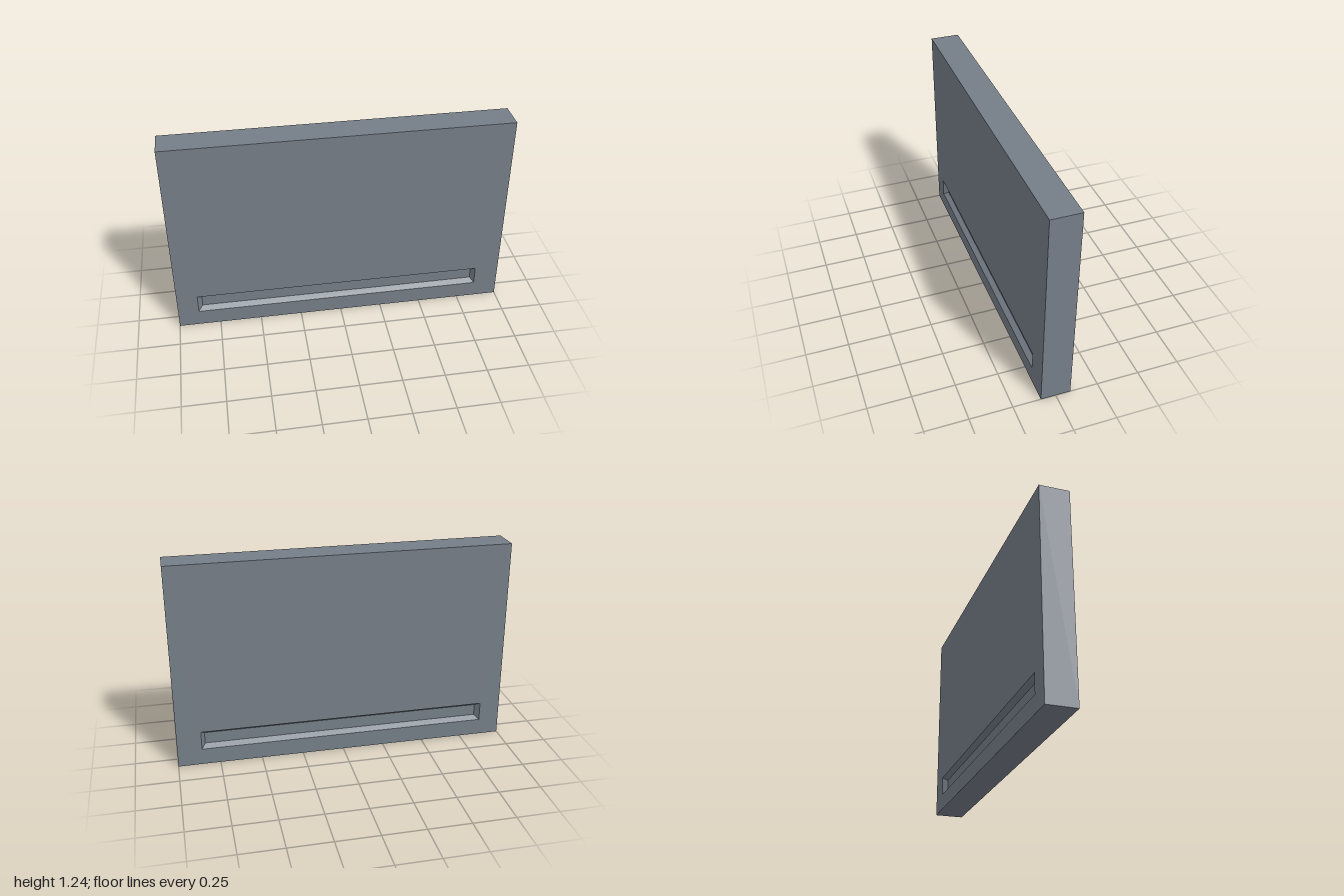
import * as THREE from 'three';

const HEIGHT = 1.24;
const HALF_DEPTH = 0.087;
const RECESS_DEPTH = 0.03;

// Rectangular loops: [x0, y0, x1, y1]
const OUTER = [-1, 0, 1, HEIGHT];
const RIM = [-0.876, 0.1, 0.856, 0.214];
const FLOOR = [-0.85, 0.123, 0.834, 0.193];

// Corners of a rectangle at depth z, counter-clockwise seen from +z
function loop([x0, y0, x1, y1], z) {
  return [[x0, y0, z], [x1, y0, z], [x1, y1, z], [x0, y1, z]];
}

// Joins successive loops with flat faces, optionally capping either end
function loft(loops, capStart, capEnd) {
  const points = [];
  const quad = (a, b, c, d) => points.push(...a, ...b, ...c, ...a, ...c, ...d);
  for (let i = 0; i < loops.length - 1; i++) {
    const a = loops[i], b = loops[i + 1];
    for (let j = 0; j < 4; j++) {
      const k = (j + 1) % 4;
      quad(a[j], a[k], b[k], b[j]);
    }
  }
  if (capStart) quad(...[...loops[0]].reverse());
  if (capEnd) quad(...loops[loops.length - 1]);
  const geometry = new THREE.BufferGeometry();
  geometry.setAttribute('position', new THREE.Float32BufferAttribute(points, 3));
  geometry.computeVertexNormals();
  return geometry;
}

export function createModel() {
  const group = new THREE.Group();
  group.name = 'slottedPanel';
  const slate = new THREE.MeshStandardMaterial({ color: 0x757e88 });
  slate.name = 'slate grey';

  const add = (name, geometry) => {
    const mesh = new THREE.Mesh(geometry, slate);
    mesh.name = name;
    group.add(mesh);
  };

  // Upright slab with a long opening in both large faces
  add('slab', loft([
    loop(RIM, -HALF_DEPTH),
    loop(OUTER, -HALF_DEPTH),
    loop(OUTER, HALF_DEPTH),
    loop(RIM, HALF_DEPTH),
  ], false, false));

  // Shallow recesses with sloping walls
  const floorZ = HALF_DEPTH - RECESS_DEPTH;
  add('frontRecess', loft([loop(RIM, HALF_DEPTH), loop(FLOOR, floorZ)], false, true));
  add('backRecess', loft([loop(FLOOR, -floorZ), loop(RIM, -HALF_DEPTH)], true, false));

  return group;
}
